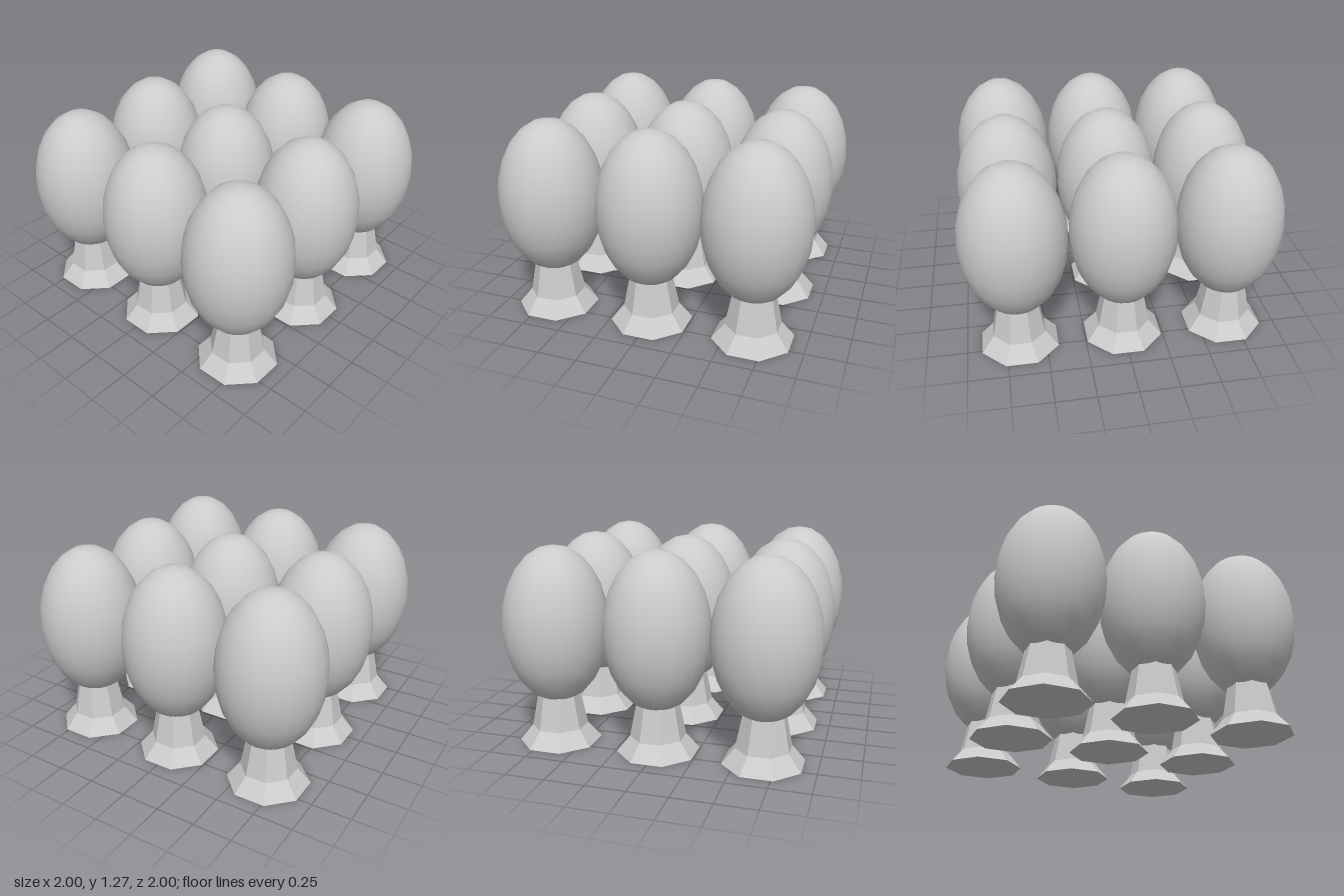
import * as THREE from 'three';

const SPACING = 0.667;

export function createModel() {
  const model = new THREE.Group();
  model.name = 'treeGrove';
  const smooth = new THREE.MeshStandardMaterial({ color: 0xcccccc });
  const faceted = new THREE.MeshStandardMaterial({ color: 0xcccccc, flatShading: true });

  // Egg-shaped crown
  const crownGeometry = new THREE.SphereGeometry(0.332, 24, 12);
  crownGeometry.scale(1, 0.5 / 0.332, 1);

  // Eight-sided trunk with a flared, closed foot; flats face the axes
  const profile = [[0, 0], [0.26, 0], [0.176, 0.1], [0.13, 0.33], [0, 0.33]];
  const trunkGeometry = new THREE.LatheGeometry(
    profile.map(([r, y]) => new THREE.Vector2(r, y)), 8, Math.PI / 8);

  // Three by three grid of trees
  for (let row = -1; row <= 1; row++) {
    for (let column = -1; column <= 1; column++) {
      const tree = new THREE.Group();
      tree.name = 'tree';
      const trunk = new THREE.Mesh(trunkGeometry, faceted);
      trunk.name = 'trunk';
      const crown = new THREE.Mesh(crownGeometry, smooth);
      crown.name = 'crown';
      crown.position.y = 0.766;
      tree.add(trunk, crown);
      tree.position.set(column * SPACING, 0, row * SPACING);
      model.add(tree);
    }
  }
  return model;
}
